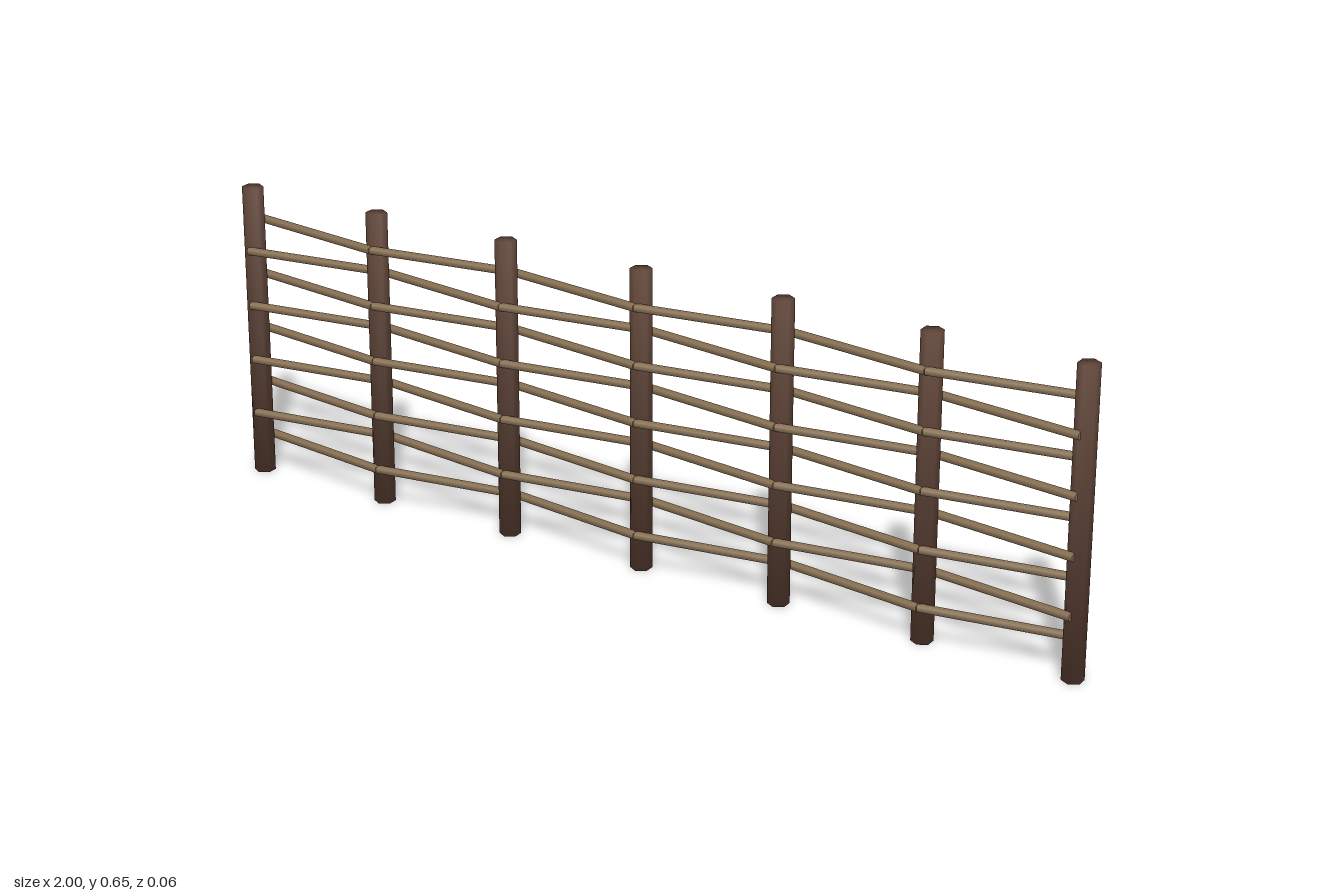
import * as THREE from 'three';

const POSTS = 7, ROWS = 9;
const HEIGHT = 0.655, POST_R = 0.023, RAIL_R = 0.0095;
const SPACING = 1.96 / (POSTS - 1), Z0 = 0.001;

// Hexagonal stake whose rim normals blend into the caps for a soft-edged look
function postGeometry() {
  const g = new THREE.CylinderGeometry(POST_R, POST_R, HEIGHT, 6);
  const p = g.attributes.position, n = g.attributes.normal;
  const v = new THREE.Vector3();
  for (let i = 0; i < p.count; i++) {
    v.set(p.getX(i) / POST_R, 0.65 * Math.sign(p.getY(i)), p.getZ(i) / POST_R).normalize();
    n.setXYZ(i, v.x, v.y, v.z);
  }
  return g.translate(0, HEIGHT / 2, 0);
}

export function createModel() {
  const postWood = new THREE.MeshStandardMaterial({ color: 0x5c4033 });
  postWood.name = 'dark brown wood';
  const railWood = new THREE.MeshStandardMaterial({ color: 0x8b7355 });
  railWood.name = 'tan wood';

  const fence = new THREE.Group();
  fence.name = 'wovenFence';
  const postX = (i) => -0.98 + i * SPACING;

  // Upright stakes
  const postGeo = postGeometry();
  for (let i = 0; i < POSTS; i++) {
    const post = new THREE.Mesh(postGeo, postWood);
    post.name = `post${i + 1}`;
    post.position.set(postX(i), 0, Z0);
    fence.add(post);
  }

  // Five-sided rods, one span between neighbouring stakes, lying along x
  const swing = 2 * POST_R;
  const railGeo = new THREE.CylinderGeometry(RAIL_R, RAIL_R, Math.hypot(SPACING, swing), 5)
    .rotateY(Math.PI).rotateZ(-Math.PI / 2);

  // Each row weaves front to back; neighbouring rows take opposite sides
  for (let r = 0; r < ROWS; r++) {
    const rail = new THREE.Group();
    rail.name = `wovenRail${r + 1}`;
    rail.position.set(0, 0.08 + r * 0.0622, Z0);
    for (let i = 0; i < POSTS - 1; i++) {
      const dz = (r + i) % 2 === 0 ? swing : -swing;
      const span = new THREE.Mesh(railGeo, railWood);
      span.name = `railSpan${i + 1}`;
      span.position.x = postX(i) + SPACING / 2;
      span.rotation.y = -Math.atan2(dz, SPACING);
      rail.add(span);
    }
    fence.add(rail);
  }
  return fence;
}
